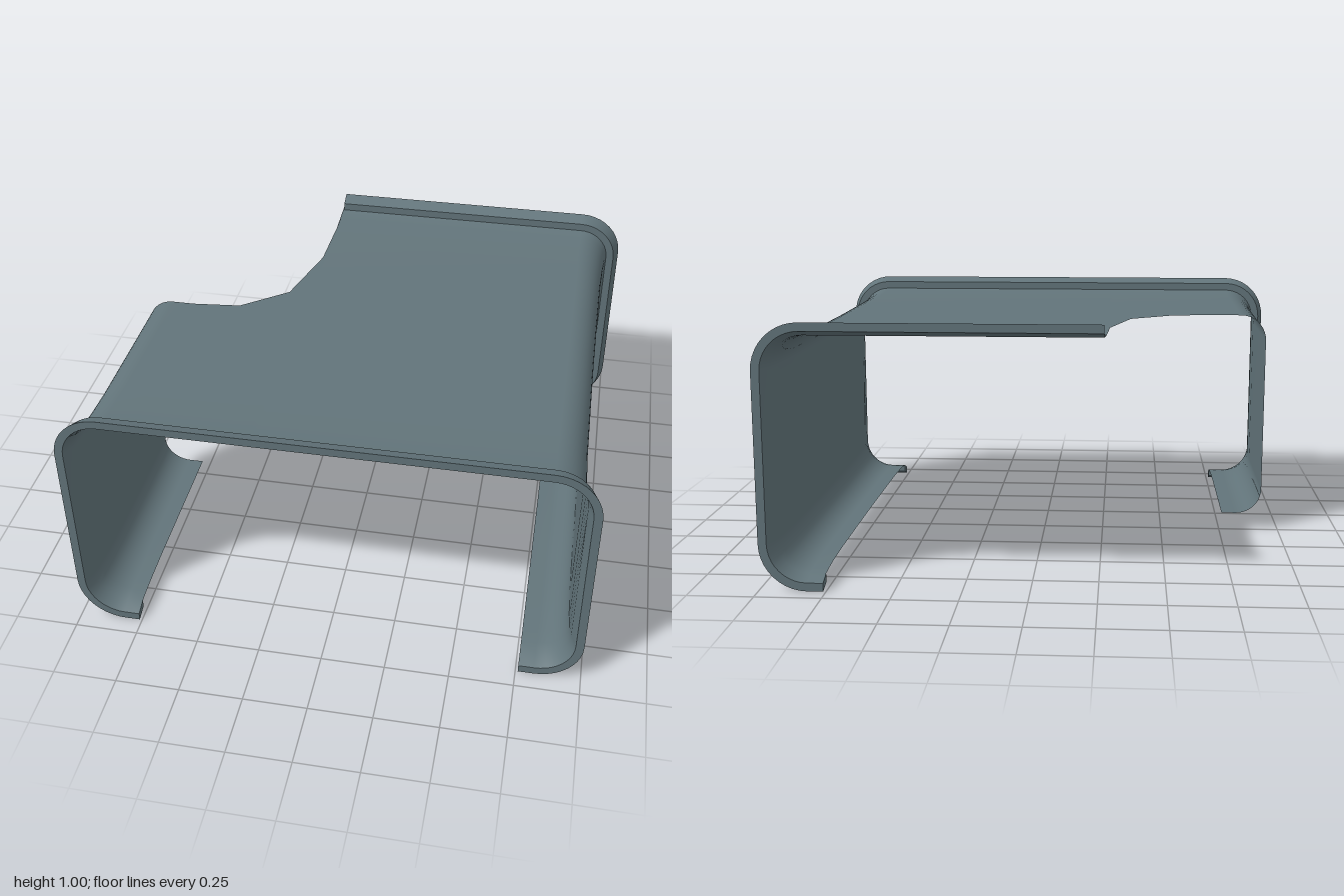
import * as THREE from 'three';
import { mergeGeometries } from 'three/addons/utils/BufferGeometryUtils.js';

const END = 0.927, RIM = 0.872, R = 0.18, ARC = 10;

// Profile columns: core point, outward direction and the z where the column starts
function makeProfile() {
  const cols = [];
  const add = (x, y, nx, ny, start) => cols.push({ x, y, nx, ny, start });
  const corner = (x, y, a0, start) => {
    for (let i = 0; i <= ARC; i++) {
      const a = a0 - (i / ARC) * Math.PI / 2;
      add(x, y, Math.cos(a), Math.sin(a), start);
    }
  };
  add(-0.76, 0.18, 0, -1, 0);
  corner(-0.82, 0.18, Math.PI * 1.5, 0);
  corner(-0.82, 0.82, Math.PI, 0);
  // corner cut-out in the top
  [[-0.73, 0], [-0.54, -0.02], [-0.36, -0.16], [-0.28, -0.46], [-0.27, -0.72], [-0.265, -END]]
    .forEach(([x, z]) => add(x, 0.82, 0, 1, z));
  corner(0.82, 0.82, Math.PI / 2, -END);
  corner(0.82, 0.18, 0, -END);
  add(0.76, 0.18, 0, -1, -END);
  return cols;
}

const place = (c, off) => [c.x + c.nx * (R + off), c.y + c.ny * (R + off)];

// Sheet running along the profile; rows are [z, offset from the outermost line]
function sheet(cols, rows) {
  const pos = [], index = [], n = rows.length;
  const offsetAt = (z) => {
    let i = 0;
    while (i < n - 2 && rows[i + 1][0] < z) i++;
    const [z0, o0] = rows[i], [z1, o1] = rows[i + 1];
    return o0 + (o1 - o0) * (z - z0) / (z1 - z0);
  };
  for (const c of cols) {
    for (const [z, off] of rows) {
      const clipped = z < c.start;
      const o = clipped ? offsetAt(c.start) : off;
      pos.push(...place(c, o), clipped ? c.start : z);
    }
  }
  for (let i = 0; i < cols.length - 1; i++) {
    for (let j = 0; j < n - 1; j++) {
      const a = i * n + j, b = a + n;
      index.push(a, a + 1, b, b, a + 1, b + 1);
    }
  }
  const g = new THREE.BufferGeometry();
  g.setAttribute('position', new THREE.Float32BufferAttribute(pos, 3));
  g.setIndex(index);
  g.computeVertexNormals();
  return g;
}

// Raised rim: step, sloping band and end face, closed at both tips
function rim(cols, side) {
  const section = [[RIM, -0.055], [RIM, -0.023], [END, -0.002], [END, -0.034]]
    .map(([z, o]) => [z * side, o]);
  const parts = [];
  for (let i = 0; i < 3; i++) {
    const pair = [section[i], section[i + 1]];
    if (side < 0) pair.reverse();
    parts.push(sheet(cols, pair));
  }
  for (const c of [cols[0], cols[cols.length - 1]]) {
    const g = new THREE.BufferGeometry();
    const pts = section.flatMap(([z, o]) => [...place(c, o), z]);
    g.setAttribute('position', new THREE.Float32BufferAttribute(pts, 3));
    g.setIndex([0, 1, 2, 0, 2, 3]);
    g.computeVertexNormals();
    parts.push(g);
  }
  return mergeGeometries(parts);
}

export function createModel() {
  const group = new THREE.Group();
  const metal = new THREE.MeshStandardMaterial({ color: 0x62747a, side: THREE.DoubleSide });
  metal.name = 'slateGrey';
  const add = (name, geometry) => {
    const mesh = new THREE.Mesh(geometry, metal);
    mesh.name = name;
    group.add(mesh);
  };
  const cols = makeProfile();

  // thin shell, flaring gently towards both ends
  const half = [[0.25, -0.073], [0.6, -0.071], [0.75, -0.066], [0.82, -0.061], [RIM, -0.055], [END, -0.034]];
  const rows = [...half.map(([z, o]) => [-z, o]).reverse(), [0, -0.074], ...half];
  add('shell', sheet(cols, rows));

  // rims at both open ends
  add('frontRim', rim(cols, 1));
  add('backRim', rim(cols.filter((c) => c.start === -END), -1));
  return group;
}
